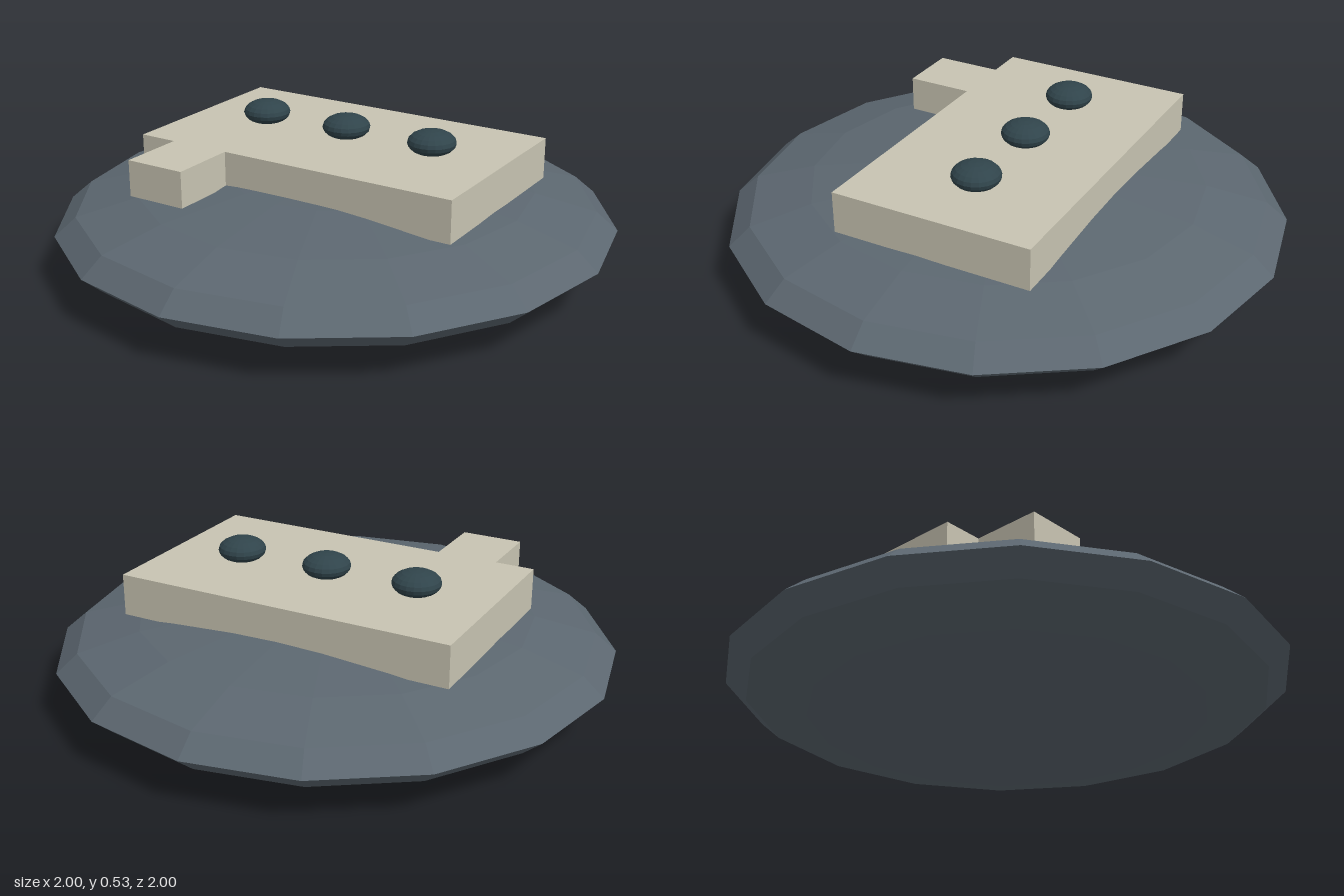
import * as THREE from 'three';

export function createModel() {
  const model = new THREE.Group();
  const hullGrey = new THREE.MeshStandardMaterial({ color: 0x5c6770, flatShading: true });
  const deckCream = new THREE.MeshStandardMaterial({ color: 0xc8c4b2 });
  const domeTeal = new THREE.MeshStandardMaterial({ color: 0x30444b, flatShading: true });
  hullGrey.name = 'hullGrey';
  deckCream.name = 'deckCream';
  domeTeal.name = 'domeTeal';

  const add = (name, geometry, material, x, y, z) => {
    const mesh = new THREE.Mesh(geometry, material);
    mesh.name = name;
    mesh.position.set(x, y, z);
    model.add(mesh);
    return mesh;
  };

  // Flattened low-poly saucer
  const hull = new THREE.SphereGeometry(1, 16, 8).scale(1, 0.172, 1);
  add('saucerHull', hull, hullGrey, 0, 0.172, 0);

  // Raised deck block with an offset tab at the front
  add('deckBlock', new THREE.BoxGeometry(1.244, 0.15, 0.73), deckCream, 0, 0.376, -0.05);
  add('frontTab', new THREE.BoxGeometry(0.224, 0.13, 0.244), deckCream, -0.368, 0.386, 0.436);

  // Row of three squashed domes
  const dome = new THREE.SphereGeometry(0.086, 20, 10).scale(1, 0.52, 1);
  ['rightDome', 'middleDome', 'leftDome'].forEach((name, i) =>
    add(name, dome, domeTeal, (i - 1) * 0.346, 0.484, -0.07));

  return model;
}
